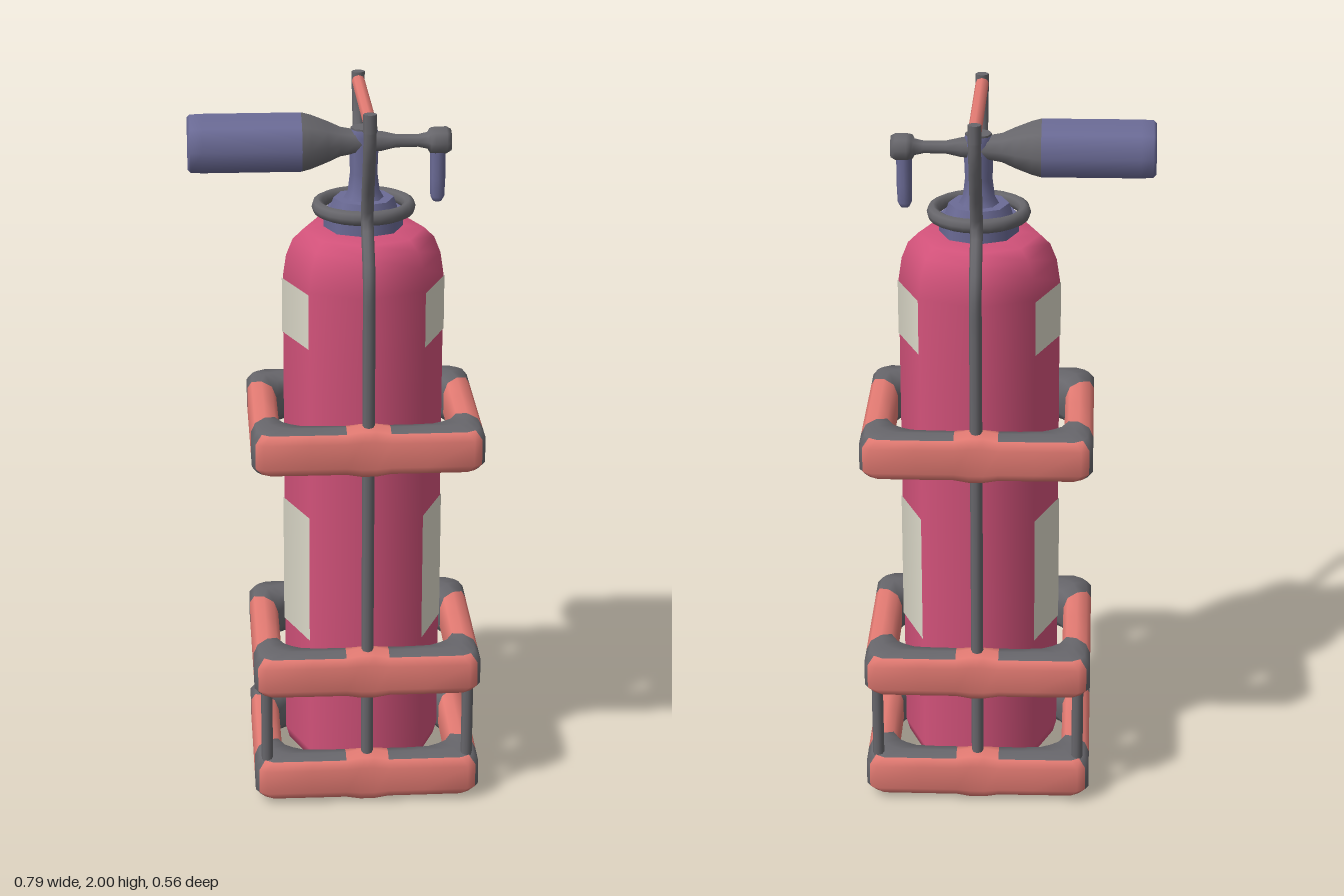
import * as THREE from 'three';

const mat = (name, color) => {
  const m = new THREE.MeshStandardMaterial({ color });
  m.name = name;
  return m;
};
const V = (x, y, z) => new THREE.Vector3(x, y, z);

// Lathe from [radius, height] pairs, eight-sided by default
const lathe = (pts, sides = 8) =>
  new THREE.LatheGeometry(pts.map(([r, y]) => new THREE.Vector2(r, y)), sides);

// Rounded rectangular guard: cross-sections swept around the tank
function guardGeometry() {
  const HX = 0.317, HZ = 0.278;
  // [outer x, outer z, inner x, inner z, height scale] for one quarter
  const quarter = [
    [HX, 0, 0.237, 0, 1], [HX, 0.17, 0.237, 0.11, 1], [HX, 0.245, 0.215, 0.145, 1.02],
    [HX - 0.01, 0.264, 0.19, 0.16, 1], [0.285, HZ, 0.16, 0.175, 1], [0.16, HZ, 0.11, 0.18, 1],
    [0.06, HZ, 0.06, 0.18, 1], [0.02, HZ, 0.02, 0.18, 1.12], [0, HZ, 0, 0.18, 1.12],
  ];
  const half = quarter.concat(
    quarter.slice(0, -1).reverse().map(([a, b, c, d, h]) => [-a, b, -c, d, h]));
  const loop = half.concat(
    half.slice(1, -1).reverse().map(([a, b, c, d, h]) => [a, -b, c, -d, h]));
  // [outer to inner fraction, height]
  const section = [
    [0, -0.035], [0, 0.035], [0.15, 0.058], [0.5, 0.066], [0.85, 0.058],
    [1, 0.03], [1, -0.03], [0.85, -0.058], [0.5, -0.066], [0.15, -0.058],
  ];
  const n = loop.length, m = section.length;
  const pos = [], pads = [], bare = [];
  for (const [ox, oz, ix, iz, h] of loop)
    for (const [t, y] of section)
      pos.push(ox + (ix - ox) * t, y * h, oz + (iz - oz) * t);
  for (let i = 0; i < n; i++) {
    const p = loop[i], q = loop[(i + 1) % n];
    const nearZ = Math.min(Math.abs(p[1]), Math.abs(q[1])) > 0.16;
    const corner = nearZ && Math.min(Math.abs(p[0]), Math.abs(q[0])) > HX - 0.02;
    const middle = Math.abs(p[0] + q[0]) / 2 < 0.05;
    for (let j = 0; j < m; j++) {
      const k = (j + 1) % m, i2 = (i + 1) % n;
      const a = i * m + j, b = i * m + k, c = i2 * m + j, d = i2 * m + k;
      const flat = ![0, 1, 5, 9].includes(j);
      const grey = corner || (nearZ && flat && !middle);
      (grey ? bare : pads).push(a, b, c, b, d, c);
    }
  }
  const g = new THREE.BufferGeometry();
  g.setAttribute('position', new THREE.Float32BufferAttribute(pos, 3));
  g.setIndex(pads.concat(bare));
  g.addGroup(0, pads.length, 0);
  g.addGroup(pads.length, bare.length, 1);
  g.computeVertexNormals();
  return g;
}

export function createModel() {
  const red = mat('tank red', 0xd2527a);
  const salmon = mat('guard salmon', 0xe27a72);
  const grey = mat('metal grey', 0x67666b);
  const navy = mat('valve blue', 0x6b6b96);
  const cream = mat('label cream', 0xdbd8c8);

  const model = new THREE.Group();
  model.name = 'extinguisher';
  const body = new THREE.Group();
  body.name = 'body';
  body.position.x = 0.0735;
  model.add(body);

  const add = (name, geo, material, x = 0, y = 0, z = 0) => {
    const mesh = new THREE.Mesh(geo, material);
    mesh.name = name;
    mesh.position.set(x, y, z);
    body.add(mesh);
    return mesh;
  };

  // Tank with rounded shoulder
  add('tank', lathe([
    [0, 0.06], [0.185, 0.06], [0.21, 0.075], [0.22, 0.11], [0.22, 0.6], [0.22, 1.2], [0.22, 1.49],
    [0.211, 1.55], [0.193, 1.595], [0.165, 1.622], [0.1, 1.63], [0, 1.63],
  ]), red);

  // Labels wrapped on both sides
  for (const side of [1, -1])
    for (const [name, y0, y1] of [['lowerLabel', 0.46, 0.835], ['upperLabel', 1.33, 1.485]])
      add(name, new THREE.CylinderGeometry(0.223, 0.223, y1 - y0, 2, 1, true,
        side * Math.PI / 2 - Math.PI / 4, Math.PI / 2), cream, 0, (y0 + y1) / 2);

  // Guard frames
  const guard = guardGeometry();
  for (const y of [0.074, 0.395, 1.065]) add('guardFrame', guard, [salmon, grey], 0, y);

  // Short posts joining the two lower frames
  for (const x of [-0.283, 0.283])
    for (const z of [-0.235, 0.235])
      add('cornerPost', new THREE.CylinderGeometry(0.016, 0.016, 0.28, 8), grey, x, 0.235, z);

  // Long rods running up to the collar and out to the carrying handle
  for (const s of [1, -1]) {
    const path = new THREE.CatmullRomCurve3([
      [0.08, 0.232], [0.6, 0.232], [1.06, 0.232], [1.4, 0.234], [1.54, 0.23], [1.6, 0.2],
      [1.64, 0.17], [1.685, 0.143], [1.74, 0.155], [1.83, 0.195], [1.91, 0.224], [1.995, 0.232],
    ].map(([y, z]) => V(0, y, z * s)), false, 'centripetal');
    add('sideRod', new THREE.TubeGeometry(path, 60, 0.017, 8), grey);
    add('rodCap', new THREE.CylinderGeometry(0.018, 0.018, 0.05, 8), grey, 0, 1.975, 0.232 * s);
  }
  const bar = new THREE.CylinderGeometry(0.018, 0.018, 0.45, 8).rotateX(Math.PI / 2);
  add('carryBar', bar, salmon, 0, 1.975);

  // Collar ring
  const ring = new THREE.TorusGeometry(0.124, 0.017, 8, 24).rotateX(Math.PI / 2).scale(1, 1.2, 1);
  add('collar', ring, grey, 0, 1.686);

  // Stepped neck and stem
  add('neckBase', new THREE.CylinderGeometry(0.108, 0.108, 0.06, 8), navy, 0, 1.65);
  add('neckStep', new THREE.CylinderGeometry(0.082, 0.095, 0.04, 8), navy, 0, 1.69);
  add('stem', lathe([[0.06, 1.7], [0.043, 1.73], [0.037, 1.78], [0.041, 1.88], [0.036, 1.9]]), navy);
  add('stemCap', new THREE.CylinderGeometry(0.036, 0.036, 0.006, 8), grey, 0, 1.902);

  // Discharge horn lying along x
  const along = (pts, flat) => lathe(pts).rotateZ(-Math.PI / 2).scale(1, flat, 1);
  add('horn', along([[0, -0.4], [0.088, -0.4], [0.098, -0.392], [0.1, -0.36], [0.1, -0.095]], 0.82),
    navy, -0.0735, 1.865);
  add('hornThroat', along([
    [0.1, -0.095], [0.092, -0.07], [0.07, -0.025], [0.05, 0.01], [0.042, 0.045], [0.035, 0.08],
  ], 0.82), grey, -0.0735, 1.865);

  // Valve pipe, elbow and lever
  add('valvePipe', along([
    [0.036, 0.07], [0.033, 0.12], [0.022, 0.16], [0.021, 0.22], [0.028, 0.245], [0.042, 0.252],
    [0.045, 0.265], [0.045, 0.295], [0.036, 0.308], [0, 0.308],
  ], 0.84), grey, -0.0735, 1.865);
  add('lever', lathe([
    [0, 1.695], [0.012, 1.697], [0.019, 1.71], [0.021, 1.76], [0.021, 1.85],
  ]), navy, 0.2, 0, 0);

  return model;
}
